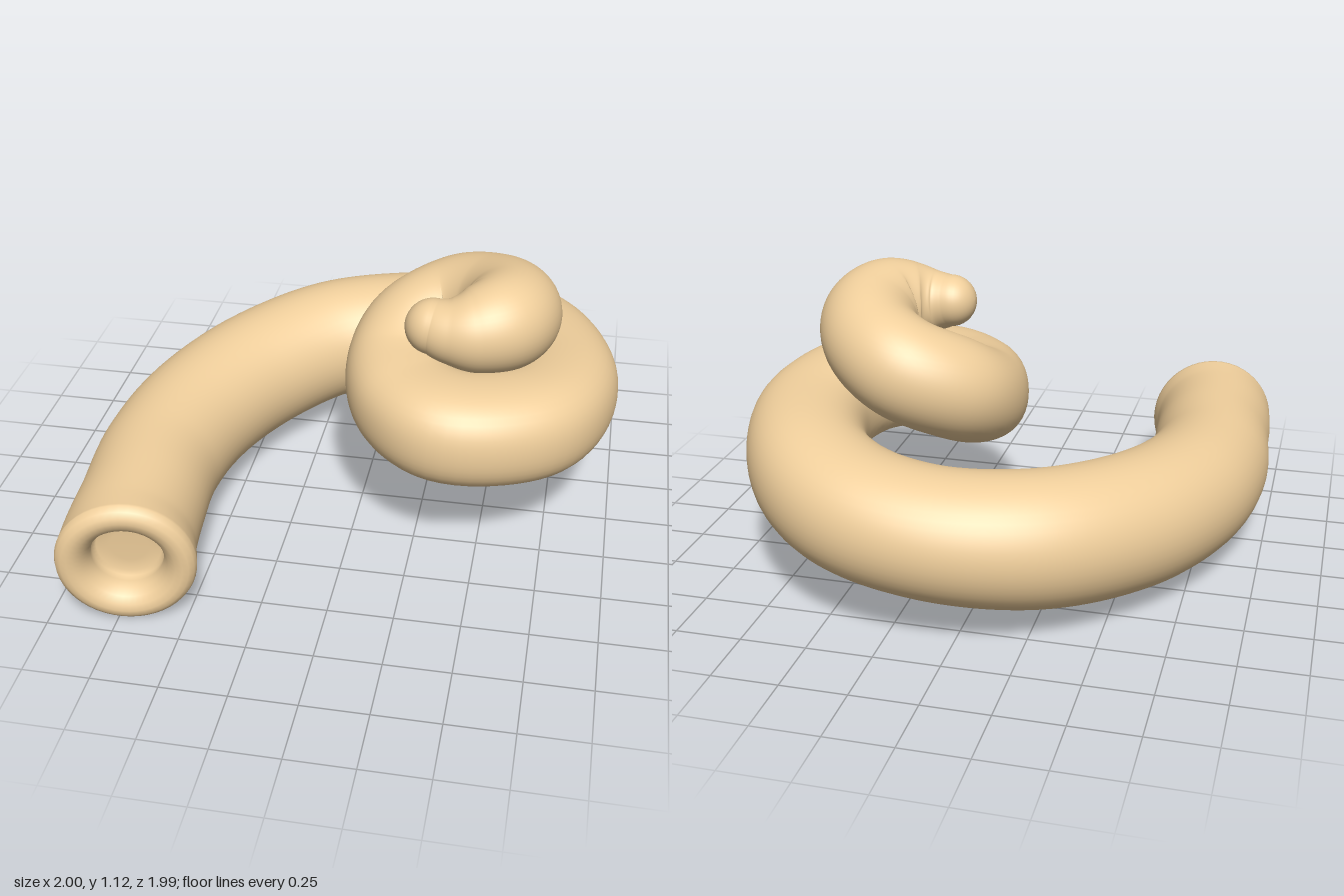
import * as THREE from 'three';

// Centreline stations: x, y, z, horizontal radius, vertical radius, squareness
const STATIONS = [
  [-0.703, 0.265, 0.915, 0.257, 0.262, 0],
  [-0.724, 0.271, 0.8, 0.246, 0.253, 0],
  [-0.739, 0.28, 0.6, 0.239, 0.247, 0],
  [-0.755, 0.285, 0.3, 0.243, 0.248, 0],
  [-0.695, 0.3, -0.03, 0.25, 0.252, 0],
  [-0.525, 0.322, -0.37, 0.252, 0.257, 0],
  [-0.24, 0.356, -0.65, 0.25, 0.252, 0],
  [0.1, 0.388, -0.75, 0.25, 0.24, 0],
  [0.41, 0.43, -0.7, 0.248, 0.233, 0.02],
  [0.64, 0.48, -0.51, 0.235, 0.227, 0.03],
  [0.772, 0.53, -0.12, 0.226, 0.205, 0.05],
  [0.665, 0.565, 0.2, 0.222, 0.2, 0.06],
  [0.38, 0.59, 0.315, 0.222, 0.195, 0.06],
  [0.22, 0.602, 0.2, 0.218, 0.19, 0.06],
  [0.15, 0.633, 0.01, 0.21, 0.193, 0.04],
  [0.19, 0.718, -0.16, 0.205, 0.2, 0],
  [0.36, 0.805, -0.235, 0.2, 0.2, 0],
  [0.51, 0.87, -0.14, 0.195, 0.195, 0],
  [0.57, 0.918, 0.01, 0.19, 0.19, 0],
  [0.535, 0.942, 0.14, 0.18, 0.18, 0],
  [0.435, 0.938, 0.203, 0.155, 0.155, 0],
  [0.36, 0.94, 0.216, 0.124, 0.124, 0],
  [0.3, 0.947, 0.21, 0.105, 0.105, 0],
];

// Hollow mouth, from the recessed floor out over the rim: distance along tube, radius
const MOUTH = [
  [0.09, 0], [0.09, 0.07], [0.088, 0.12], [0.075, 0.134], [0.045, 0.133], [0.015, 0.14],
  [-0.015, 0.157], [-0.033, 0.182], [-0.04, 0.207], [-0.036, 0.23], [-0.022, 0.249],
];

const UP = new THREE.Vector3(0, 1, 0);
const STEPS = 210, SIDES = 48, CAP = 10;

// List of oval cross-sections along the whole horn
function makeSections() {
  const path = new THREE.CatmullRomCurve3(STATIONS.map(s => new THREE.Vector3(s[0], s[1], s[2])));
  const size = new THREE.CatmullRomCurve3(
    STATIONS.map(s => new THREE.Vector3(s[3], s[4], s[5])), false, 'catmullrom', 0.5);
  const sections = [];
  const add = (t, offset, rh, rv, square) => {
    const tangent = path.getTangent(t);
    const side = new THREE.Vector3().crossVectors(tangent, UP).normalize();
    const normal = new THREE.Vector3().crossVectors(side, tangent);
    const centre = path.getPoint(t).addScaledVector(tangent, offset);
    sections.push({ centre, side, normal, rh, rv, square });
  };
  // mouth
  MOUTH.forEach(([d, r]) => add(0, d, r, r, 0));
  // body
  for (let i = 0; i <= STEPS; i++) {
    const r = size.getPoint(i / STEPS);
    add(i / STEPS, 0, r.x, r.y, r.z);
  }
  // rounded tip
  const end = STATIONS[STATIONS.length - 1][3];
  for (let i = 1; i <= CAP; i++) {
    const a = (i / CAP) * Math.PI / 2;
    add(1, end * Math.sin(a), end * Math.cos(a), end * Math.cos(a), 0);
  }
  return sections;
}

// Skin the sections with a closed smooth surface
function loft(sections) {
  const positions = [], index = [];
  sections.forEach((s, i) => {
    for (let j = 0; j < SIDES; j++) {
      const a = (j / SIDES) * Math.PI * 2;
      const bulge = 1 + s.square * Math.sin(2 * a) ** 2;
      const p = s.centre.clone()
        .addScaledVector(s.side, Math.cos(a) * s.rh * bulge)
        .addScaledVector(s.normal, Math.sin(a) * s.rv * bulge);
      positions.push(p.x, p.y, p.z);
      if (i === sections.length - 1) continue;
      const k = (j + 1) % SIDES;
      const a0 = i * SIDES + j, a1 = i * SIDES + k;
      index.push(a0, a0 + SIDES, a1, a1, a0 + SIDES, a1 + SIDES);
    }
  });
  const geometry = new THREE.BufferGeometry();
  geometry.setAttribute('position', new THREE.Float32BufferAttribute(positions, 3));
  geometry.setIndex(index);
  geometry.computeVertexNormals();
  return geometry;
}

export function createModel() {
  const group = new THREE.Group();
  group.name = 'coiledHorn';
  const material = new THREE.MeshStandardMaterial({ color: 0xf0cf9c, side: THREE.DoubleSide });
  const horn = new THREE.Mesh(loft(makeSections()), material);
  horn.name = 'hornTube';
  group.add(horn);
  return group;
}
